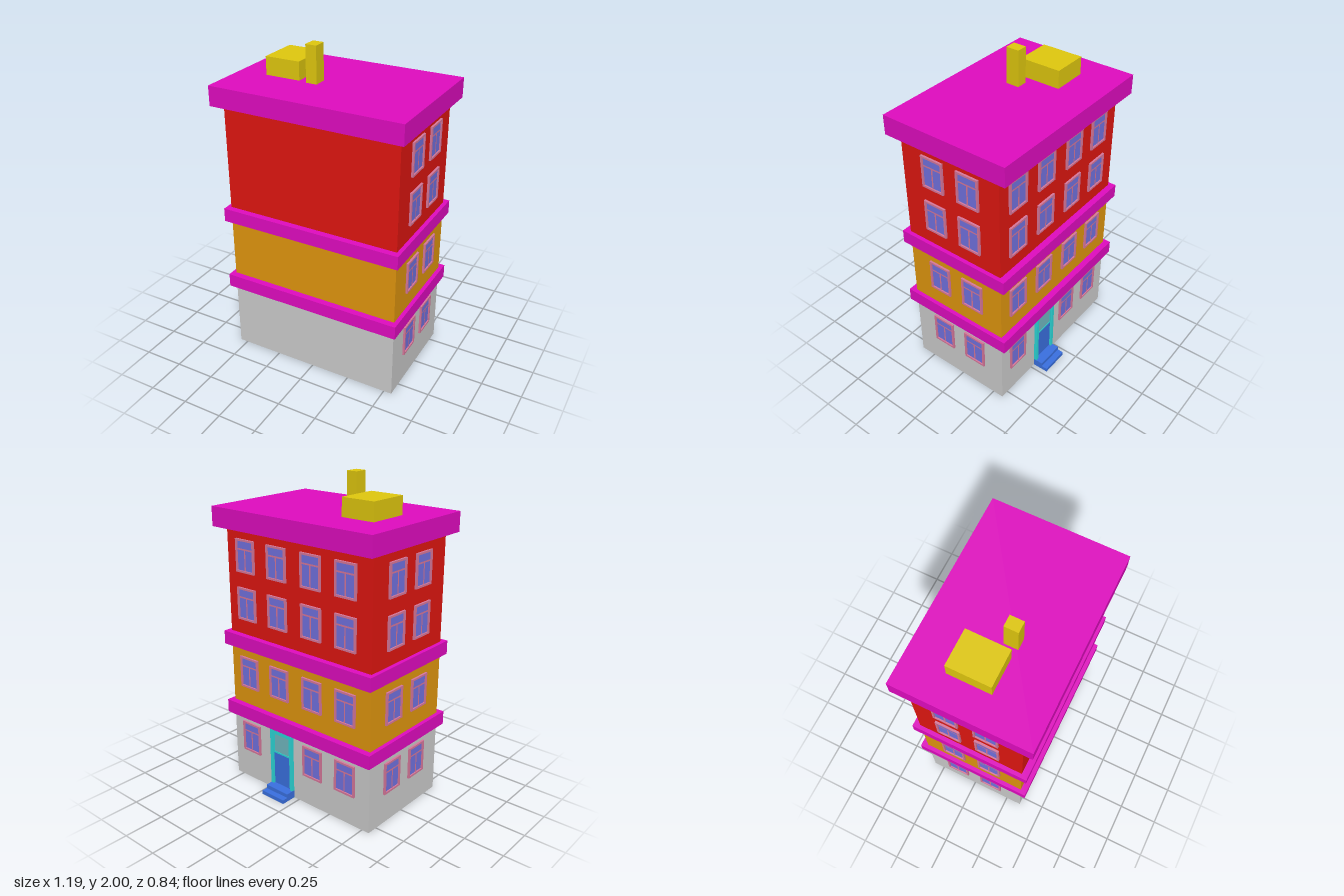
import * as THREE from 'three';

const mat = (color, side = THREE.FrontSide) =>
  new THREE.MeshStandardMaterial({ color, side, flatShading: true });

const MAGENTA = mat(0xe00cc0), YELLOW = mat(0xe0c80e), FRAME = mat(0xd8789c);
const GLASS = mat(0x7272e0), BLUE = mat(0x3a70e0), TEAL = mat(0x2cd8d8), DOOR_GLASS = mat(0x70b8c0);

// Body footprint
const X = 0.55, Z0 = -0.32, Z1 = 0.35, ZC = (Z0 + Z1) / 2;

// Storeys with the window centre heights of each
const STOREYS = [
  { name: 'groundFloor', y0: 0, y1: 0.445, color: 0xcccccc, rows: [0.298] },
  { name: 'middleFloor', y0: 0.53, y1: 0.915, color: 0xe0960e, rows: [0.747] },
  { name: 'upperFloors', y0: 1.0, y1: 1.66, color: 0xe01610, rows: [1.196, 1.494] },
].map((s) => ({ ...s, material: mat(s.color, THREE.DoubleSide) }));

const WIN = { w: 0.15, h: 0.203, t: 0.012, d: 0.0125 };

function add(parent, name, geometry, material, x = 0, y = 0, z = 0) {
  const mesh = new THREE.Mesh(geometry, material);
  mesh.name = name;
  mesh.position.set(x, y, z);
  parent.add(mesh);
  return mesh;
}

// Box given by its minimum and maximum corners
function block(parent, name, material, x0, x1, y0, y1, z0, z1) {
  return add(parent, name, new THREE.BoxGeometry(x1 - x0, y1 - y0, z1 - z0), material,
    (x0 + x1) / 2, (y0 + y1) / 2, (z0 + z1) / 2);
}

// Adds a rectangle, centred on x, y, to a shape or path
function rect(path, x, y, w, h) {
  path.moveTo(x - w / 2, y - h / 2);
  path.lineTo(x + w / 2, y - h / 2);
  path.lineTo(x + w / 2, y + h / 2);
  path.lineTo(x - w / 2, y + h / 2);
  path.closePath();
  return path;
}

function frameGeometry(w, h, t, depth) {
  const shape = rect(new THREE.Shape(), 0, 0, w, h);
  shape.holes.push(rect(new THREE.Path(), 0, 0, w - 2 * t, h - 2 * t));
  return new THREE.ExtrudeGeometry(shape, { depth, bevelEnabled: false });
}

// Window: raised frame, pane, transom bar and a mullion below it
function makeWindow(x, y) {
  const { w, h, t, d } = WIN;
  const group = new THREE.Group();
  group.name = 'window';
  group.position.set(x, y, 0);
  const transomY = 0.04;
  const bottom = -h / 2 + t;
  add(group, 'windowFrame', frameGeometry(w, h, t, d), FRAME);
  add(group, 'windowPane', new THREE.PlaneGeometry(w - 2 * t, h - 2 * t), GLASS, 0, 0, 0.004);
  add(group, 'transomBar', new THREE.PlaneGeometry(w - 2 * t, 0.01), FRAME, 0, transomY, 0.008);
  add(group, 'mullion', new THREE.PlaneGeometry(0.01, transomY - bottom), FRAME,
    0, (transomY + bottom) / 2, 0.008);
  return group;
}

// Entrance: surround, leaf, light in the upper half and two steps
function makeEntrance(x) {
  const group = new THREE.Group();
  group.name = 'entrance';
  group.position.x = x;
  const w = 0.18, top = 0.43, t = 0.02;
  for (const s of [-1, 1]) {
    const cx = s * (w / 2 - t / 2);
    block(group, 'doorJamb', TEAL, cx - t / 2, cx + t / 2, 0, top, 0, 0.02);
  }
  block(group, 'doorLintel', TEAL, -w / 2 + t, w / 2 - t, top - t, top, 0, 0.02);
  block(group, 'doorLeaf', BLUE, -w / 2 + t, w / 2 - t, 0.05, top - t, 0, 0.006);
  const light = add(group, 'doorLightFrame', frameGeometry(w - 2 * t, 0.14, 0.01, 0.012), TEAL);
  light.position.y = 0.34;
  add(group, 'doorLight', new THREE.PlaneGeometry(w - 2 * t - 0.02, 0.12), DOOR_GLASS, 0, 0.34, 0.009);
  block(group, 'lowerStep', BLUE, -w / 2, w / 2, 0, 0.025, 0, 0.102);
  block(group, 'upperStep', BLUE, -w / 2, w / 2, 0.025, 0.05, 0, 0.064);
  return group;
}

// One side of the building, built facing +z; columns are window centres
function makeFacade(name, width, columns, doorX = null) {
  const group = new THREE.Group();
  group.name = name;
  for (const s of STOREYS) {
    const wall = rect(new THREE.Shape(), 0, (s.y0 + s.y1) / 2, width, s.y1 - s.y0);
    for (const y of s.rows) {
      for (const x of columns) {
        const doorHere = s.y0 === 0 && doorX !== null && Math.abs(x - doorX) < 0.1;
        if (doorHere) continue;
        wall.holes.push(rect(new THREE.Path(), x, y, WIN.w - 2 * WIN.t, WIN.h - 2 * WIN.t));
        group.add(makeWindow(x, y));
      }
    }
    add(group, s.name + 'Wall', new THREE.ShapeGeometry(wall), s.material);
  }
  if (doorX !== null) group.add(makeEntrance(doorX));
  return group;
}

export function createModel() {
  const model = new THREE.Group();
  model.name = 'townHouse';

  // Four walls; the front one is blank
  const depth = Z1 - Z0;
  const sideColumns = [0.131 - ZC, -0.112 - ZC];
  const front = makeFacade('frontFacade', 2 * X, []);
  front.position.z = Z1;
  const back = makeFacade('backFacade', 2 * X, [-0.398, -0.145, 0.118, 0.37], -0.13);
  back.position.z = Z0;
  back.rotation.y = Math.PI;
  model.add(front, back);
  for (const s of [1, -1]) {
    const side = makeFacade(s > 0 ? 'leftFacade' : 'rightFacade', depth, sideColumns.map((z) => -s * z));
    side.position.set(s * X, 0, ZC);
    side.rotation.y = s * Math.PI / 2;
    model.add(side);
  }

  // Ledges between storeys and the roof slab
  for (const [y0, y1] of [[0.445, 0.53], [0.915, 1.0]]) {
    block(model, 'ledge', MAGENTA, -0.575, 0.575, y0, y1, -0.36, 0.39);
  }
  block(model, 'roofSlab', MAGENTA, -0.595, 0.595, 1.66, 1.78, -0.393, 0.42);

  // Rooftop blocks
  block(model, 'roofHatch', YELLOW, -0.415, -0.195, 1.78, 1.89, -0.15, 0.108);
  block(model, 'chimney', YELLOW, -0.144, -0.076, 1.78, 2.0, 0.038, 0.12);

  return model;
}
